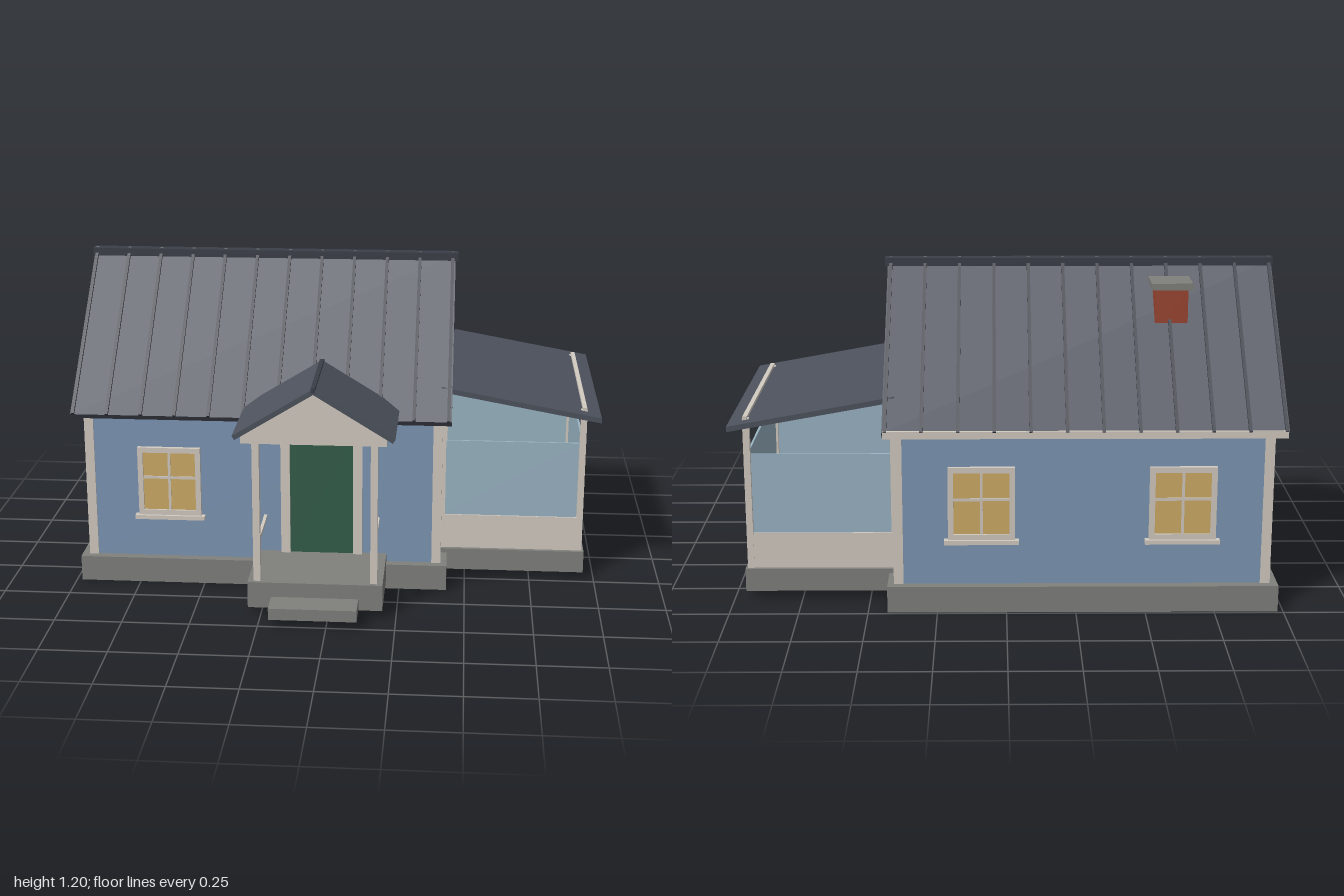
import * as THREE from 'three';

const mat = (name, color) => {
  const m = new THREE.MeshStandardMaterial({ color });
  m.name = name;
  return m;
};

export function createModel() {
  const house = new THREE.Group();
  house.name = 'house';

  const blue = mat('wallBlue', 0x7d97b5);
  const cream = mat('trimCream', 0xd2cbc1);
  const slate = mat('roofSlate', 0x4d525d);
  const seamDark = mat('seamDark', 0x3a3e47);
  const stone = mat('foundationGrey', 0x80807d);
  const green = mat('doorGreen', 0x335e4b);
  const gold = mat('windowGold', 0xcfac66);
  const glass = mat('verandaGlass', 0x9ab5c4);
  const brick = mat('chimneyBrick', 0x9c4632);

  const MID = -0.185; // z of the main ridge

  const add = (name, geometry, material, parent = house) => {
    const mesh = new THREE.Mesh(geometry, material);
    mesh.name = name;
    parent.add(mesh);
    return mesh;
  };

  // Box given by its minimum and maximum on each axis
  const box = (name, material, x0, x1, y0, y1, z0, z1, parent = house) => {
    const mesh = add(name, new THREE.BoxGeometry(x1 - x0, y1 - y0, z1 - z0), material, parent);
    mesh.position.set((x0 + x1) / 2, (y0 + y1) / 2, (z0 + z1) / 2);
    return mesh;
  };

  const prism = (points, depth, holes = []) => {
    const shape = new THREE.Shape(points.map(([x, y]) => new THREE.Vector2(x, y)));
    holes.forEach(h => shape.holes.push(new THREE.Path(h.map(([x, y]) => new THREE.Vector2(x, y)))));
    return new THREE.ExtrudeGeometry(shape, { depth, bevelEnabled: false });
  };

  // Gable profile: two sloping slabs of thickness t with square-cut eaves
  const chevron = (ridge, half, slope, t) => {
    const a = Math.atan(slope);
    const eave = ridge - slope * half;
    const ix = half - t * Math.sin(a), iy = eave - t * Math.cos(a);
    return [[0, ridge], [-half, eave], [-ix, iy], [0, ridge - t / Math.cos(a)], [ix, iy], [half, eave]];
  };

  // Symmetrical profile run along x, centred on the main ridge
  const alongX = (name, points, x0, x1, material) => {
    const mesh = add(name, prism(points, x1 - x0).rotateY(Math.PI / 2), material);
    mesh.position.set(x0, 0, MID);
    return mesh;
  };

  // Main body
  box('foundation', stone, -0.98, 0.43, 0, 0.098, -0.74, 0.37);
  alongX('walls', [[-0.52, 0.098], [0.52, 0.098], [0.52, 0.674], [0, 1.15], [-0.52, 0.674]], -0.945, 0.4, blue);
  for (const [x0, x1] of [[-0.952, -0.917], [0.372, 0.407]])
    for (const [z0, z1] of [[0.306, 0.341], [-0.711, -0.676]])
      box('cornerBoard', cream, x0, x1, 0.098, 0.67, z0, z1);

  // Main roof with standing seams, bargeboards and ridge cap
  const SLOPE = 0.918;
  alongX('mainRoof', chevron(1.19, 0.561, SLOPE, 0.028), -0.995, 0.44, slate);
  for (let i = 0; i < 12; i++) {
    const x = -0.985 + i * 0.1285;
    alongX('roofSeam', chevron(1.203, 0.568, SLOPE, 0.012), x - 0.006, x + 0.006, seamDark);
  }
  alongX('bargeboardLeft', chevron(1.153, 0.53, SLOPE, 0.026), 0.405, 0.432, cream);
  alongX('bargeboardRight', chevron(1.153, 0.53, SLOPE, 0.026), -0.988, -0.95, cream);
  box('ridgeCap', seamDark, -1, 0.45, 1.17, 1.2, MID - 0.024, MID + 0.024);
  box('backFascia', cream, -0.99, 0.437, 0.655, 0.682, -0.75, -0.738);

  // Chimney
  box('chimney', brick, -0.665, -0.545, 0.95, 1.12, -0.4, -0.28);
  box('chimneyCap', stone, -0.68, -0.53, 1.117, 1.142, -0.415, -0.265);

  // Windows, built facing +z
  const rect = (w, h) => [[-w, -h], [w, -h], [w, h], [-w, h]];
  const windowAt = (x, y, z, turn, w = 0.24, h = 0.27) => {
    const g = new THREE.Group();
    g.name = 'window';
    const a = w / 2, b = h / 2, f = 0.02;
    add('windowFrame', prism(rect(a, b), 0.016, [rect(a - f, b - f)]), cream, g);
    box('windowPane', gold, -a + f, a - f, -b + f, b - f, 0, 0.008, g);
    box('windowMullion', cream, -0.005, 0.005, -b + f, b - f, 0, 0.012, g);
    box('windowTransom', cream, -a + f, a - f, 0.01, 0.02, 0, 0.012, g);
    box('windowSill', cream, -a - 0.014, a + 0.014, -b - 0.016, -b, 0, 0.026, g);
    g.position.set(x, y, z);
    g.rotation.y = turn;
    house.add(g);
  };
  windowAt(-0.63, 0.405, 0.335, 0);
  windowAt(-0.63, 0.405, -0.705, Math.PI);
  windowAt(0.09, 0.405, -0.705, Math.PI);
  windowAt(-0.945, 0.405, MID, -Math.PI / 2);
  windowAt(-0.945, 0.885, MID, -Math.PI / 2, 0.18, 0.21);

  // Entrance door
  const PX = -0.048; // centre of the porch
  add('doorFrame', prism([[-0.155, 0.13], [-0.12, 0.13], [-0.12, 0.585], [0.12, 0.585], [0.12, 0.13],
    [0.155, 0.13], [0.155, 0.625], [-0.155, 0.625]], 0.02), cream).position.set(PX, 0, 0.333);
  box('door', green, PX - 0.12, PX + 0.12, 0.13, 0.585, 0.333, 0.343);

  // Porch
  box('porchFloor', stone, -0.297, 0.2, 0.03, 0.13, 0.33, 0.65);
  box('porchStep', stone, -0.21, 0.112, 0.03, 0.074, 0.645, 0.757);
  for (const s of [-1, 1]) {
    const x = PX + s * 0.215;
    box('porchPost', cream, x - 0.013, x + 0.013, 0.13, 0.7, 0.61, 0.636);
    box('porchRail', cream, x - 0.006, x + 0.006, 0.263, 0.277, 0.335, 0.612);
  }
  add('porchRoof', prism(chevron(0.885, 0.292, 0.615, 0.018), 0.385), slate).position.set(PX, 0, 0.3);
  box('porchRidge', seamDark, PX - 0.008, PX + 0.008, 0.87, 0.889, 0.3, 0.686);
  add('porchGable', prism([[-0.262, 0.677], [0.262, 0.677], [0.262, 0.703], [0, 0.864], [-0.262, 0.703]], 0.022),
    cream).position.set(PX, 0, 0.66);

  // Side veranda
  box('verandaBase', stone, 0.4, 0.958, 0.03, 0.115, -0.6, 0.23);
  box('verandaParapetOuter', cream, 0.928, 0.95, 0.115, 0.25, -0.583, 0.213);
  box('verandaGlassOuter', glass, 0.935, 0.943, 0.25, 0.55, -0.567, 0.197);
  for (const z of [0.205, -0.575]) {
    box('verandaParapetSide', cream, 0.4, 0.93, 0.115, 0.25, z - 0.01, z + 0.01);
    box('verandaGlassSide', glass, 0.42, 0.925, 0.25, 0.55, z - 0.004, z + 0.004);
    box('verandaPostOuter', cream, 0.926, 0.95, 0.115, 0.685, z - 0.012, z + 0.012);
    box('verandaPostInner', cream, 0.398, 0.42, 0.115, 0.74, z - 0.012, z + 0.012);
  }
  box('verandaBeam', cream, 0.932, 0.948, 0.67, 0.694, -0.587, 0.217);
  add('verandaRoof', prism([[0.4, 0.759], [1, 0.65], [1, 0.67], [0.4, 0.779]], 0.906), slate)
    .position.z = -0.638;

  return house;
}
